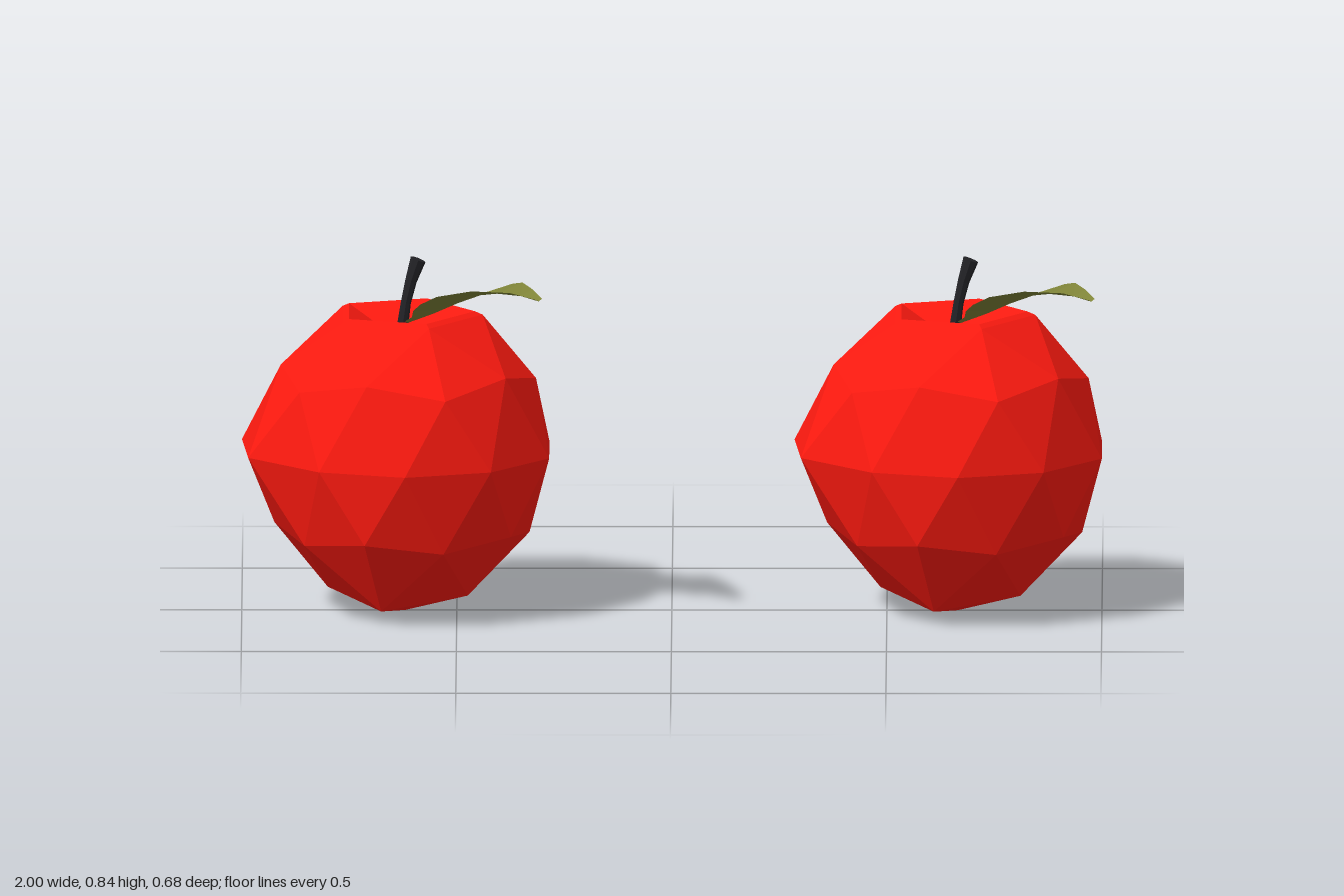
import * as THREE from 'three';

const mat = (color, extra = {}) =>
  new THREE.MeshStandardMaterial({ color, flatShading: true, ...extra });

// Ring of n points; even and odd points may differ in radius and height.
function ring(n, start, even, odd = even) {
  return Array.from({ length: n }, (_, i) => {
    const [r, y] = i % 2 && n === 10 ? odd : even;
    const a = THREE.MathUtils.degToRad(start + (i * 360) / n);
    return new THREE.Vector3(r * Math.cos(a), y, -r * Math.sin(a));
  });
}

function toGeometry(tris) {
  const g = new THREE.BufferGeometry().setFromPoints(tris);
  g.computeVertexNormals();
  return g;
}

// Faceted body: a once-divided icosahedron with its top pressed in.
function bodyGeometry() {
  const pit = new THREE.Vector3(0, 0.63, 0);
  const base = new THREE.Vector3(0, 0, 0);
  const rim = ring(5, 0, [0.162, 0.708]);
  const shoulder = ring(5, 0, [0.18, 0.7]);
  const upper = ring(10, 0, [0.304, 0.55], [0.289, 0.582]);
  const middle = ring(10, 18, [0.34, 0.38]);
  const lower = ring(10, 0, [0.289, 0.185], [0.304, 0.208]);
  const foot = ring(5, 36, [0.18, 0.055]);
  // slight lopsidedness
  middle[4].set(-0.38, 0.38, -0.125);
  middle[5].set(-0.365, 0.38, 0.1);
  middle[0].x = middle[9].x = 0.335;
  foot[3].y = 0.03;

  const t = [];
  for (let k = 0; k < 5; k++) {
    const n = (k + 1) % 5, a = 2 * k, b = a + 1, c = (a + 2) % 10, d = (a + 3) % 10;
    t.push(pit, rim[k], rim[n]);
    t.push(rim[k], shoulder[k], shoulder[n], rim[k], shoulder[n], rim[n]);
    t.push(shoulder[k], upper[a], upper[b], shoulder[k], upper[b], shoulder[n]);
    t.push(shoulder[n], upper[b], upper[c]);
    t.push(foot[k], lower[c], lower[b], foot[k], foot[n], lower[c]);
    t.push(foot[n], lower[d], lower[c], base, foot[n], foot[k]);
  }
  for (let j = 0; j < 10; j++) {
    const n = (j + 1) % 10;
    t.push(upper[j], middle[j], upper[n], middle[j], middle[n], upper[n]);
    t.push(lower[j], lower[n], middle[j], middle[j], lower[n], middle[n]);
  }
  return toGeometry(t);
}

// Stem: a tapered cylinder, flared at the tip and bent to one side.
function stemGeometry() {
  const g = new THREE.CylinderGeometry(1, 1, 1, 8, 4);
  const p = g.attributes.position;
  const radii = [0.015, 0.013, 0.0115, 0.013, 0.017];
  for (let i = 0; i < p.count; i++) {
    const t = p.getY(i) + 0.5, r = radii[Math.round(t * 4)];
    const x = p.getX(i) * r;
    p.setXYZ(i, x - 0.008 + 0.038 * t * t, 0.625 + 0.205 * t - x * 0.4 * t, p.getZ(i) * r - 0.005);
  }
  g.computeVertexNormals();
  return g;
}

// Leaf: cross-sections of distance, half width, edge height and midrib height.
function leafGeometry() {
  const sections = [
    [0, 0.008, 0.685, 0.68], [0.05, 0.035, 0.705, 0.7], [0.09, 0.07, 0.73, 0.722],
    [0.15, 0.105, 0.758, 0.748], [0.22, 0.119, 0.788, 0.775], [0.3, 0.08, 0.808, 0.792],
    [0.39, 0.035, 0.812, 0.8], [0.457, 0.01, 0.803, 0.798],
  ];
  const rows = sections.map(([s, w, edge, mid]) => [-1, 0, 1].map((side) => {
    const v = side * w + 0.012 * Math.sin((s / 0.457) * Math.PI);
    return new THREE.Vector3(0.005 + s * 0.67 + v * 0.74, side ? edge : mid, s * 0.74 - v * 0.67);
  }));
  const t = [];
  for (let i = 0; i < rows.length - 1; i++) {
    for (let j = 0; j < 2; j++) {
      const a = rows[i][j], b = rows[i][j + 1], c = rows[i + 1][j], d = rows[i + 1][j + 1];
      t.push(a, c, b, b, c, d);
    }
  }
  return toGeometry(t);
}

export function createModel() {
  const parts = [
    ['body', bodyGeometry(), mat(0xff1a10)],
    ['stem', stemGeometry(), mat(0x232327)],
    ['leaf', leafGeometry(), mat(0x7f8438, { side: THREE.DoubleSide })],
  ];
  const model = new THREE.Group();
  model.name = 'apples';
  // Two matching apples side by side
  for (const [name, x] of [['rightApple', -0.62], ['leftApple', 0.665]]) {
    const apple = new THREE.Group();
    apple.name = name;
    apple.position.x = x;
    for (const [part, geometry, material] of parts) {
      const mesh = new THREE.Mesh(geometry, material);
      mesh.name = part;
      apple.add(mesh);
    }
    model.add(apple);
  }
  return model;
}
